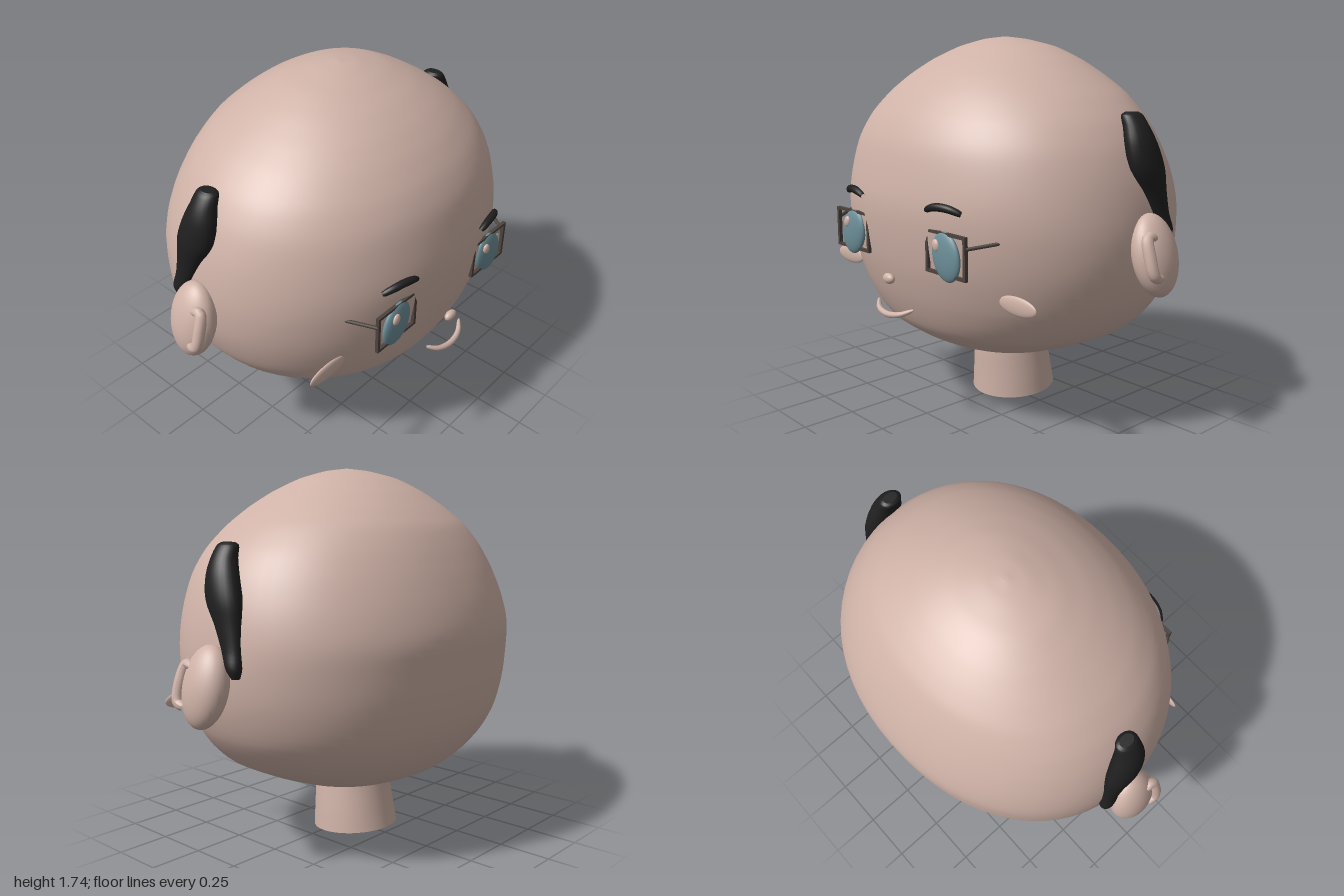
import * as THREE from 'three';

const material = (name, color) => {
  const m = new THREE.MeshStandardMaterial({ color });
  m.name = name;
  return m;
};

// Closed solid through oval rings [y, centreX, centreZ, radiusX, radiusZ], listed bottom to top
function loft(rings, { seg = 48, steps = 4, power = 2, tilt = 0 } = {}) {
  const pos = [], idx = [];
  const a3 = new THREE.CatmullRomCurve3(rings.map(r => new THREE.Vector3(r[0], r[1], r[2])));
  const b3 = new THREE.CatmullRomCurve3(rings.map(r => new THREE.Vector3(r[3], r[4], r[0])));
  const n = (rings.length - 1) * steps;
  const rounded = v => Math.sign(v) * Math.abs(v) ** (2 / power);
  const ring = i => {
    const a = a3.getPoint(i / n), b = b3.getPoint(i / n), start = pos.length / 3;
    for (let j = 0; j < seg; j++) {
      const t = (j / seg) * Math.PI * 2;
      const z = b.y * rounded(Math.sin(t));
      const lean = tilt * (1 - i / n);
      pos.push(a.y + b.x * rounded(Math.cos(t)), a.x - z * lean, a.z + z);
    }
    return { start, centre: [a.y, a.x, a.z] };
  };
  for (let i = 0; i <= n; i++) ring(i);
  for (let i = 0; i < n; i++) {
    for (let j = 0; j < seg; j++) {
      const k = (j + 1) % seg, a = i * seg + j, b = i * seg + k;
      idx.push(a, a + seg, b + seg, a, b + seg, b);
    }
  }
  // End caps with their own vertices, so the rims stay sharp
  for (const i of [0, n]) {
    const { start, centre } = ring(i), c = pos.length / 3;
    pos.push(...centre);
    for (let j = 0; j < seg; j++) {
      const a = start + j, b = start + (j + 1) % seg;
      idx.push(...(i === 0 ? [c, a, b] : [c, b, a]));
    }
  }
  const g = new THREE.BufferGeometry();
  g.setAttribute('position', new THREE.Float32BufferAttribute(pos, 3));
  g.setIndex(idx);
  g.computeVertexNormals();
  return g;
}

// Round strand along a path, slimming towards both ends
function strand(points, radius, endScale) {
  const path = new THREE.CatmullRomCurve3(points.map(p => new THREE.Vector3(...p)));
  const n = 28, sides = 12;
  const g = new THREE.TubeGeometry(path, n, radius, sides);
  const p = g.attributes.position, v = new THREE.Vector3();
  for (let i = 0; i < p.count; i++) {
    const t = Math.floor(i / (sides + 1)) / n;
    const k = endScale + (1 - endScale) * Math.sqrt(Math.max(0, 4 * t * (1 - t)));
    const c = path.getPointAt(t);
    v.fromBufferAttribute(p, i).sub(c).multiplyScalar(k).add(c);
    p.setXYZ(i, v.x, v.y, v.z);
  }
  g.computeVertexNormals();
  return g;
}

export function createModel() {
  const model = new THREE.Group();
  model.name = 'head';
  const skin = material('skin', 0xcfb2a7);
  const hair = material('hair', 0x1f1f1f);
  const iris = material('iris', 0x6d8f99);
  const frame = material('frame', 0x4d433d);

  const add = (name, geometry, mat, parent = model) => {
    const m = new THREE.Mesh(geometry, mat);
    m.name = name;
    parent.add(m);
    return m;
  };
  const ball = (name, mat, position, radii, parent, turn = 0) => {
    const m = add(name, new THREE.SphereGeometry(1, 32, 20), mat, parent);
    m.position.set(...position);
    m.scale.set(...radii);
    m.rotation.z = turn;
    return m;
  };

  // Skull: height, half width, front z, back z
  const skull = [
    [0.255, 0.2, 0.14, -0.2], [0.3, 0.35, 0.305, -0.34], [0.36, 0.5, 0.43, -0.47],
    [0.43, 0.64, 0.525, -0.55], [0.5, 0.72, 0.567, -0.605], [0.6, 0.79, 0.608, -0.655],
    [0.75, 0.84, 0.65, -0.69], [0.9, 0.855, 0.673, -0.705], [1.02, 0.847, 0.678, -0.71],
    [1.15, 0.82, 0.66, -0.68], [1.28, 0.77, 0.628, -0.63], [1.39, 0.7, 0.573, -0.575],
    [1.49, 0.6, 0.495, -0.51], [1.57, 0.49, 0.41, -0.425], [1.64, 0.375, 0.31, -0.33],
    [1.7, 0.245, 0.19, -0.215], [1.735, 0.1, 0.085, -0.09], [1.745, 0.01, 0.01, -0.01],
  ];
  add('skull', loft(skull.map(([y, w, f, b]) => [y, 0, (f + b) / 2, w, (f - b) / 2]),
    { seg: 64, power: 2.1 }), skin);

  // Neck with a slanted base
  add('neck', loft([[0.02, 0, -0.058, 0.205, 0.203], [0.12, 0, -0.05, 0.195, 0.193],
    [0.25, 0, -0.04, 0.178, 0.182], [0.36, 0, -0.04, 0.165, 0.17]], { tilt: 0.075 }), skin);

  ball('nose', skin, [0, 0.697, 0.693], [0.036, 0.024, 0.02]);
  add('mouth', strand([[-0.13, 0.572, 0.66], [-0.075, 0.547, 0.695], [0, 0.537, 0.707],
    [0.075, 0.547, 0.695], [0.13, 0.572, 0.66]], 0.014, 0.3), skin);

  for (const s of [1, -1]) {
    const side = new THREE.Group();
    side.name = s > 0 ? 'leftSide' : 'rightSide';
    model.add(side);

    // Ear and its raised rim
    ball('ear', skin, [s * 0.897, 0.845, -0.025], [0.08, 0.178, 0.118], side, s * 0.25);
    add('earRim', strand([[s * 0.93, 0.93, 0.02], [s * 0.925, 0.935, 0.06], [s * 0.95, 0.86, 0.075],
      [s * 0.972, 0.78, 0.065], [s * 0.972, 0.765, 0.025]], 0.026, 0.6), skin, side);

    // Side lock of hair
    add('sideLock', loft([
      [0.89, s * 0.85, -0.16, 0.018, 0.018], [0.93, s * 0.85, -0.15, 0.032, 0.038],
      [1.0, s * 0.838, -0.125, 0.034, 0.05], [1.1, s * 0.825, -0.093, 0.046, 0.07],
      [1.2, s * 0.815, -0.058, 0.06, 0.094], [1.3, s * 0.8, -0.035, 0.058, 0.083],
      [1.37, s * 0.78, -0.025, 0.05, 0.064], [1.42, s * 0.757, -0.022, 0.04, 0.052],
      [1.432, s * 0.755, -0.022, 0.025, 0.035],
    ], { seg: 24 }), hair, side);

    // Brow
    add('brow', strand([[s * 0.415, 1.03, 0.618], [s * 0.37, 1.048, 0.642],
      [s * 0.32, 1.053, 0.655], [s * 0.27, 1.046, 0.662], [s * 0.235, 1.032, 0.662]],
      0.018, 0.5), hair, side);

    // Eye and its glint
    ball('eye', iris, [s * 0.345, 0.848, 0.645], [0.086, 0.108, 0.025], side, s * 0.3);
    ball('eyeGlint', skin, [s > 0 ? 0.302 : -0.37, 0.893, 0.664], [0.021, 0.027, 0.012], side, s * 0.3);

    // Cheek disc
    ball('cheek', skin, [s * 0.615, 0.665, 0.495], [0.11, 0.041, 0.013], side);

    // Square spectacle rim
    const rim = new THREE.Shape();
    rim.moveTo(-0.13, -0.093).lineTo(0.13, -0.093).lineTo(0.13, 0.093).lineTo(-0.13, 0.093);
    const hole = new THREE.Path();
    hole.moveTo(-0.115, -0.08).lineTo(-0.115, 0.08).lineTo(0.115, 0.08).lineTo(0.115, -0.08);
    rim.holes.push(hole);
    add('spectacleRim', new THREE.ExtrudeGeometry(rim, { depth: 0.016, bevelEnabled: false }), frame, side)
      .position.set(s * 0.345, 0.858, 0.637);

    // Bridge stub, hinge and temple arm
    add('bridgeStub', new THREE.BoxGeometry(0.02, 0.014, 0.014), frame, side)
      .position.set(s * 0.206, 0.895, 0.645);
    const arm = new THREE.LineCurve3(new THREE.Vector3(s * 0.47, 0.9, 0.645),
      new THREE.Vector3(s * 0.555, 0.922, 0.5));
    add('templeArm', new THREE.TubeGeometry(arm, 1, 0.008, 8), frame, side);
  }
  return model;
}
